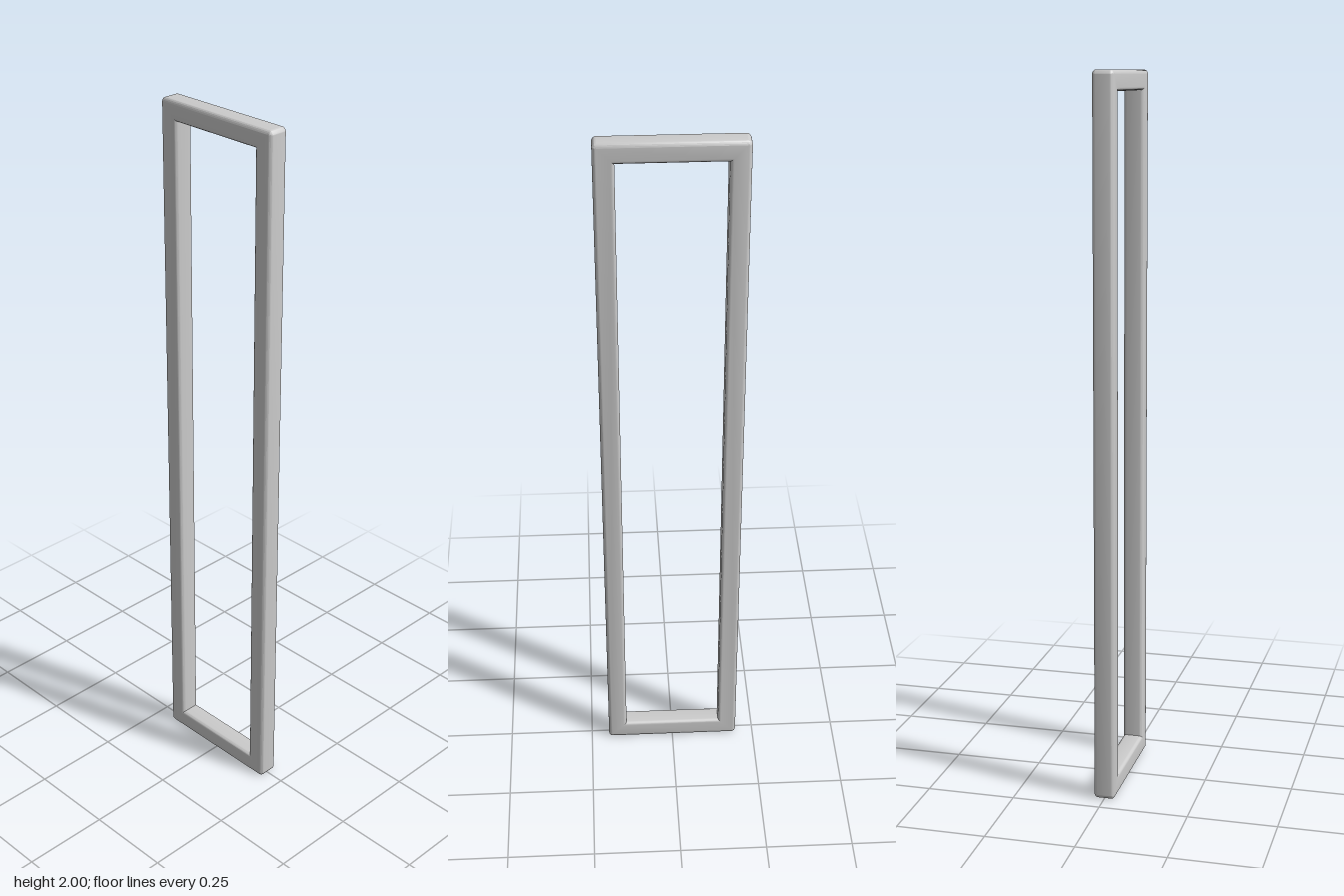
import * as THREE from 'three';
import { toCreasedNormals } from 'three/addons/utils/BufferGeometryUtils.js';

const HEIGHT = 2, WIDTH = 0.394, DEPTH = 0.058, BAR = 0.055;
const BEVEL = 0.01, CORNER = 0.012;

// Rectangle centred on the origin with rounded corners
function roundedRect(w, h, r) {
  const s = new THREE.Shape(), x = w / 2, y = h / 2;
  s.absarc(x - r, y - r, r, 0, Math.PI / 2);
  s.absarc(-x + r, y - r, r, Math.PI / 2, Math.PI);
  s.absarc(-x + r, -y + r, r, Math.PI, Math.PI * 1.5);
  s.absarc(x - r, -y + r, r, Math.PI * 1.5, Math.PI * 2);
  s.closePath();
  return s;
}

export function createModel() {
  const group = new THREE.Group();
  group.name = 'rectangularFrame';

  // Outer outline with a square-cornered opening
  const outline = roundedRect(WIDTH, HEIGHT, CORNER);
  const x = WIDTH / 2 - BAR, y = HEIGHT / 2 - BAR;
  outline.holes.push(new THREE.Path([
    new THREE.Vector2(-x, -y), new THREE.Vector2(-x, y),
    new THREE.Vector2(x, y), new THREE.Vector2(x, -y),
  ]));

  // Softened edges all round, turned so the opening faces sideways
  const geometry = new THREE.ExtrudeGeometry(outline, {
    depth: DEPTH - 2 * BEVEL, curveSegments: 4,
    bevelEnabled: true, bevelSize: BEVEL, bevelThickness: BEVEL,
    bevelOffset: -BEVEL, bevelSegments: 4,
  });
  geometry.translate(0, HEIGHT / 2, BEVEL - DEPTH / 2);
  geometry.rotateY(-Math.PI / 2);

  const frame = new THREE.Mesh(
    toCreasedNormals(geometry, 0.6),
    new THREE.MeshStandardMaterial({ color: 0xcccccc }),
  );
  frame.name = 'frame';
  group.add(frame);
  return group;
}
